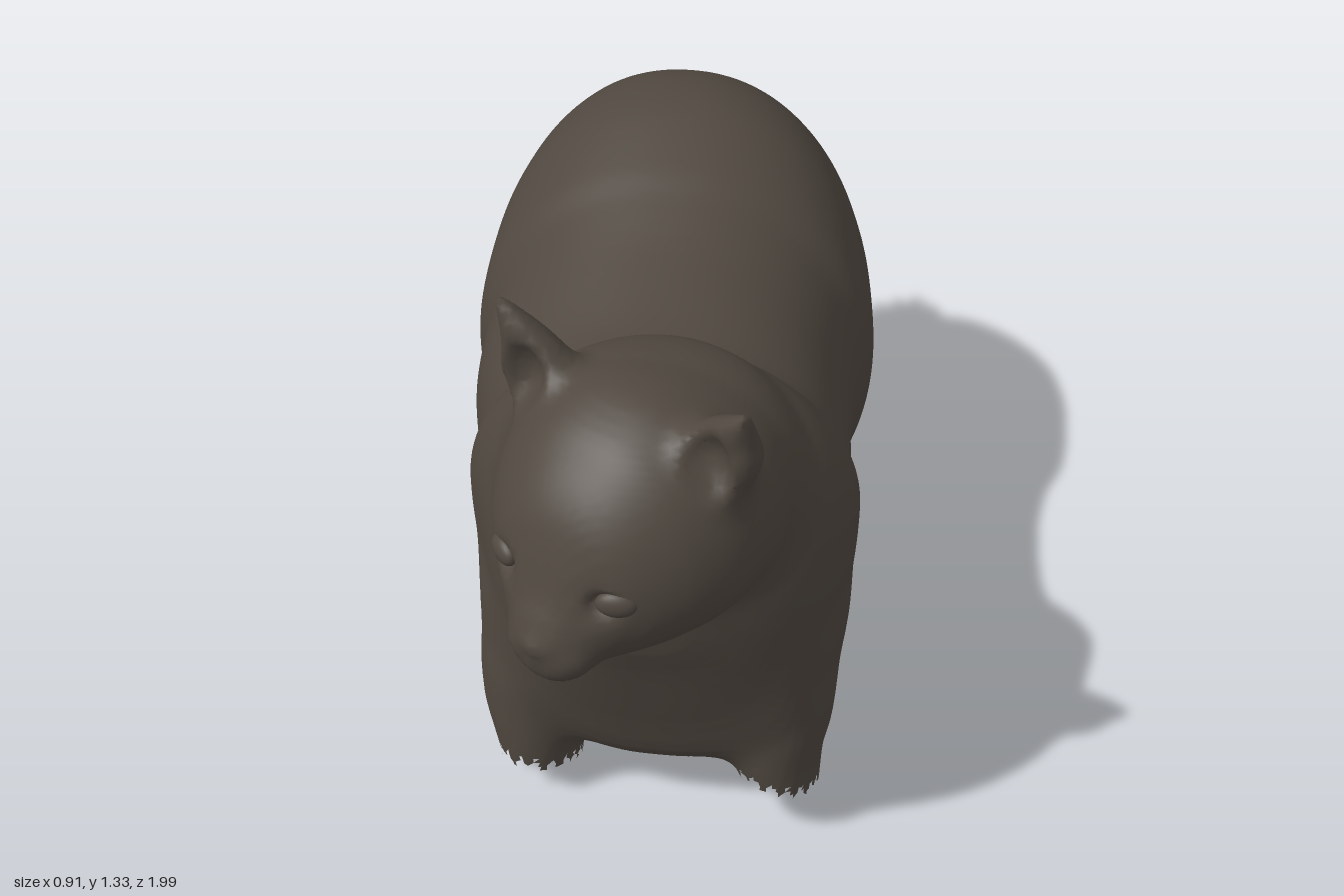
import * as THREE from 'three';

const noise = (i) => { const s = Math.sin(i * 127.1 + 3.7) * 43758.5; return s - Math.floor(s); };

// Catmull-Rom interpolation of every column in a table of section values
function smooth(rows, steps = 8) {
  const at = (i) => rows[Math.min(Math.max(i, 0), rows.length - 1)];
  return rows.flatMap((row, i) => Array.from({ length: i < rows.length - 1 ? steps : 1 }, (_, k) => {
    const t = k / steps;
    return row.map((b, c) => {
      const a = at(i - 1)[c], d = at(i + 1)[c], e = at(i + 2)[c];
      return b + 0.5 * t * (d - a + t * (2 * a - 5 * b + 4 * d - e + t * (3 * (b - d) + e - a)));
    });
  }));
}

// Distance to a limb with oval sections [t, u, v, radiusU, radiusBelow, radiusAbove]
function limb(table, below = 2, above = 2) {
  const rows = smooth(table), first = rows[0][0], end = rows[rows.length - 1][0];
  return (t, u, v) => {
    const over = Math.max(first - t, t - end, 0);
    if (over > 0.2) return over;
    let lo = 0, hi = rows.length - 1;
    while (hi - lo > 1) {
      const mid = (lo + hi) >> 1;
      if (rows[mid][0] <= t) lo = mid; else hi = mid;
    }
    const a = rows[lo], b = rows[hi];
    const f = Math.min(Math.max((t - a[0]) / (b[0] - a[0]), 0), 1);
    const mix = (c) => a[c] + (b[c] - a[c]) * f;
    const du = u - mix(1), dv = v - mix(2), ru = mix(3), rv = mix(dv < 0 ? 4 : 5);
    const r = Math.sqrt(Math.abs(du / ru) ** (dv < 0 ? below : above) + (dv / rv) ** 2);
    const d = r < 1e-4 ? -Math.min(ru, rv) : Math.hypot(du, dv) * (1 - 1 / r);
    return over > 0 ? Math.hypot(Math.max(d, 0), over) : d;
  };
}
const trunk = (rows, ...fullness) =>
  limb(rows.map(([z, x0, x1, yb, ym, yt]) => [z, (x0 + x1) / 2, ym, (x1 - x0) / 2, ym - yb, yt - ym]), ...fullness);
const round = (rows) => limb(rows.map((r) => [...r, r[4]]));
const oval = (x, y, z, rx, ry, rz) => (px, py, pz) =>
  (Math.hypot((px - x) / rx, (py - y) / ry, (pz - z) / rz) - 1) * Math.min(rx, ry, rz);

// Soft union
const blend = (a, b, k) => Math.min(a, b) - Math.max(k - Math.abs(a - b), 0) ** 2 / (4 * k);

// Rump, belly, chest and neck: [z, xMin, xMax, yBottom, yWidest, yTop]
const body = trunk([
  [-0.865, -0.02, 0.02, 0.80, 0.83, 0.86], [-0.85, -0.11, 0.11, 0.72, 0.83, 0.94],
  [-0.80, -0.22, 0.20, 0.60, 0.82, 1.04], [-0.70, -0.36, 0.31, 0.40, 0.75, 1.13],
  [-0.60, -0.42, 0.38, 0.30, 0.70, 1.18], [-0.50, -0.447, 0.415, 0.23, 0.68, 1.20],
  [-0.40, -0.46, 0.435, 0.20, 0.67, 1.195], [-0.25, -0.458, 0.447, 0.19, 0.66, 1.15],
  [-0.15, -0.43, 0.42, 0.165, 0.65, 1.11], [0.00, -0.42, 0.415, 0.135, 0.64, 1.06],
  [0.20, -0.37, 0.43, 0.15, 0.66, 1.02], [0.30, -0.362, 0.445, 0.16, 0.70, 1.04],
  [0.40, -0.35, 0.453, 0.165, 0.76, 1.13], [0.50, -0.315, 0.447, 0.17, 0.78, 1.20],
  [0.60, -0.275, 0.405, 0.21, 0.78, 1.21], [0.66, -0.23, 0.35, 0.37, 0.78, 1.15],
  [0.72, -0.16, 0.26, 0.55, 0.80, 1.06], [0.76, -0.08, 0.16, 0.66, 0.82, 0.96],
  [0.775, 0.02, 0.06, 0.76, 0.82, 0.86],
], 2.8, 2.15);
const tail = round([
  [-1.05, 0, 0.80, 0.09, 0.085], [-0.93, 0, 0.805, 0.10, 0.09], [-0.86, 0, 0.82, 0.12, 0.12],
  [-0.78, 0, 0.83, 0.16, 0.17], [-0.65, 0, 0.83, 0.05, 0.05],
]);

// Legs from the ground up: [y, cx, cz, rx, rz]
const frontLeft = round([
  [-0.06, 0.325, 0.47, 0.075, 0.11], [0.10, 0.315, 0.48, 0.09, 0.12], [0.19, 0.30, 0.485, 0.11, 0.125],
  [0.28, 0.295, 0.485, 0.13, 0.13], [0.42, 0.285, 0.48, 0.145, 0.14], [0.60, 0.25, 0.45, 0.16, 0.14],
  [0.78, 0.20, 0.40, 0.06, 0.06],
]);
const frontRight = round([
  [-0.06, -0.205, 0.47, 0.075, 0.11], [0.10, -0.205, 0.48, 0.09, 0.12], [0.19, -0.205, 0.485, 0.105, 0.125],
  [0.28, -0.20, 0.485, 0.125, 0.13], [0.42, -0.185, 0.48, 0.14, 0.14], [0.60, -0.15, 0.45, 0.15, 0.14],
  [0.78, -0.10, 0.40, 0.06, 0.06],
]);
const rear = (side) => round([
  [0.00, 0.215, -0.585, 0.11, 0.17], [0.20, 0.215, -0.58, 0.12, 0.18], [0.30, 0.22, -0.58, 0.135, 0.18],
  [0.42, 0.225, -0.53, 0.155, 0.19], [0.60, 0.21, -0.48, 0.16, 0.20], [0.80, 0.16, -0.42, 0.06, 0.08],
].map(([y, x, ...r]) => [y, side * x - 0.012, ...r]));
const rearLeft = rear(1), rearRight = rear(-1);

// Head, in its own turned frame
const TURN = -0.5, HX = 0.03, HZ = 0.72;
const skull = trunk([
  [-0.34, -0.08, 0.08, 0.88, 0.98, 1.07], [-0.26, -0.20, 0.20, 0.79, 0.98, 1.19],
  [-0.13, -0.265, 0.265, 0.76, 0.98, 1.25], [0.00, -0.275, 0.275, 0.745, 0.98, 1.27],
  [0.10, -0.245, 0.245, 0.755, 0.97, 1.235], [0.17, -0.20, 0.20, 0.765, 0.96, 1.175],
  [0.22, -0.15, 0.15, 0.77, 0.95, 1.11], [0.25, -0.11, 0.11, 0.77, 0.91, 1.035],
  [0.275, -0.075, 0.075, 0.775, 0.86, 0.95], [0.295, -0.05, 0.05, 0.79, 0.85, 0.905],
  [0.305, -0.01, 0.01, 0.835, 0.845, 0.855],
], 2, 2.2);
const snout = [
  oval(0.038, 0.82, 0.25, 0.05, 0.038, 0.045), oval(-0.038, 0.82, 0.25, 0.05, 0.038, 0.045),
  oval(0, 0.78, 0.25, 0.05, 0.025, 0.035), oval(0, 0.86, 0.285, 0.028, 0.02, 0.026),
];
const ear = (side, lift) => {
  const shell = round([
    [1.06, 0.165, -0.01, 0.06, 0.06], [1.20, 0.193, 0.00, 0.09, 0.068],
    [1.265 + lift / 2, 0.222, 0.008, 0.06, 0.046], [1.325 + lift, 0.265, 0.028, 0.019, 0.016],
    [1.34 + lift, 0.277, 0.034, 0.008, 0.008],
  ].map(([y, x, ...r]) => [y, side * x, ...r]));
  const hollow = oval(side * 0.208, 1.20 + lift / 2, 0.07, 0.055, 0.09, 0.055);
  return (y, x, z) => -blend(-shell(y, x, z), hollow(x, y, z), 0.015);
};
const leftEar = ear(1, 0), rightEar = ear(-1, 0.03);
const EYES = [1, -1].map((side) => {
  let z = 0.4;
  while (skull(z, side * 0.13, 0.965) > 0) z -= 0.002;
  return { side, x: side * 0.13, y: 0.965, z };
});
const sockets = EYES.map((e) => oval(e.x, e.y, e.z + 0.016, 0.05, 0.036, 0.032));

function headDistance(y, x, z) {
  let d = skull(z, x, y);
  for (const s of snout) d = blend(d, s(x, y, z), 0.03);
  for (const s of sockets) d = -blend(-d, s(x, y, z), 0.012);
  return d;
}
const turned = (f) => (x, y, z) => {
  const dx = x - HX, dz = z - HZ, c = Math.cos(TURN), s = Math.sin(TURN);
  return f(y, dx * c - dz * s, dx * s + dz * c);
};
const upright = (f) => (x, y, z) => f(y, x, z);
const along = (f) => (x, y, z) => f(z, x, y);

// Ragged open hems; each returns how far a point lies past its edge
const fray = (a, n) => noise(Math.floor(a * n)) * 0.02 + Math.abs(((a * n) % 1 + 1) % 1 - 0.5) * 0.06;
const hem = (cx, cz, tip, sx, sz) => (x, y, z) =>
  tip + sx * Math.abs(x - cx) + sz * Math.abs(z - cz) + fray(Math.atan2(z - cz, x - cx), 4.5) - y;
const PARTS = [
  { name: 'body', at: along(body), k: 0.05 },
  { name: 'head', at: turned(headDistance), k: 0.08 },
  { name: 'leftEar', at: turned(leftEar), k: 0.04 },
  { name: 'rightEar', at: turned(rightEar), k: 0.04 },
  { name: 'frontLeftLeg', at: upright(frontLeft), k: 0.08, past: hem(0.34, 0.45, 0, 0.35, 0.7) },
  { name: 'frontRightLeg', at: upright(frontRight), k: 0.08, past: hem(-0.2, 0.45, 0.02, 0.2, 0.7) },
  { name: 'rearLeftLeg', at: upright(rearLeft), k: 0.08, past: hem(0.21, -0.47, 0.13, 0, 0.18) },
  { name: 'rearRightLeg', at: upright(rearRight), k: 0.08, past: hem(-0.23, -0.47, 0.13, 0, 0.18) },
  { name: 'tail', at: along(tail), k: 0.07,
    past: (x, y, z) => -0.985 + 1.7 * fray(Math.atan2(y - 0.8, x), 4) - z },
];

// Wrap one continuous skin round all parts by surface nets
function wrap(min, max, h) {
  const n = min.map((m, i) => Math.ceil((max[i] - m) / h) + 1);
  const step = [1, n[0], n[0] * n[1]];
  const field = new Float32Array(n[0] * n[1] * n[2]), ids = new Int32Array(field.length);
  const each = (from, less, visit) => {
    for (let k = from; k < n[2] - less; k++)
      for (let j = from; j < n[1] - less; j++)
        for (let i = from; i < n[0] - less; i++) visit(i + j * step[1] + k * step[2], [i, j, k]);
  };
  each(0, 0, (p, c) => {
    const [x, y, z] = c.map((v, a) => min[a] + v * h);
    field[p] = PARTS.reduce((d, part) => blend(d, part.at(x, y, z), part.k), 1);
  });
  const pos = [], index = [];
  each(0, 1, (p, c) => {
    const sum = [0, 0, 0];
    let hits = 0;
    for (let q = 0; q < 8; q++) {
      const bits = [q & 1, (q >> 1) & 1, q >> 2];
      const a = p + bits[0] + bits[1] * step[1] + bits[2] * step[2];
      for (let axis = 0; axis < 3; axis++) {
        const b = a + step[axis];
        if (bits[axis] || (field[a] < 0) === (field[b] < 0)) continue;
        hits++;
        for (let m = 0; m < 3; m++) sum[m] += bits[m] + (m === axis ? field[a] / (field[a] - field[b]) : 0);
      }
    }
    if (!hits) return;
    ids[p] = pos.length / 3;
    pos.push(...sum.map((s, m) => min[m] + (c[m] + s / hits) * h));
  });
  each(1, 1, (p) => {
    for (let a = 0; a < 3; a++) {
      const inside = field[p] < 0, u = step[(a + 1) % 3], v = step[(a + 2) % 3];
      if (inside === (field[p + step[a]] < 0)) continue;
      const [A, B, C, D] = [p - u - v, p - v, p, p - u].map((q) => ids[q]);
      index.push(...(inside ? [A, B, C, A, C, D] : [A, C, B, A, D, C]));
    }
  });
  const g = new THREE.BufferGeometry().setIndex(index);
  g.setAttribute('position', new THREE.Float32BufferAttribute(pos, 3));
  g.computeVertexNormals();
  return g;
}

export function createModel() {
  const model = new THREE.Group();
  const fur = new THREE.MeshStandardMaterial({ color: 0x504840, side: THREE.DoubleSide, name: 'dark brown fur' });
  const add = (name, geometry) => {
    const m = new THREE.Mesh(geometry, fur);
    m.name = name;
    model.add(m);
    return m;
  };
  // Share the skin out to its nearest part, leaving the hems open
  const skin = wrap([-0.52, -0.04, -1.03], [0.52, 1.42, 1.06], 0.0135);
  const faces = PARTS.map(() => []), p = skin.attributes.position.array, idx = skin.index.array;
  for (let i = 0; i < idx.length; i += 3) {
    const tri = [idx[i], idx[i + 1], idx[i + 2]];
    const mid = [0, 1, 2].map((m) => tri.reduce((s, v) => s + p[v * 3 + m], 0) / 3);
    const near = PARTS.map((part) => part.at(...mid));
    const best = near.indexOf(Math.min(...near));
    if (!PARTS[best].past || PARTS[best].past(...mid) < 0) faces[best].push(...tri);
  }
  PARTS.forEach((part, i) => add(part.name, skin.clone().setIndex(faces[i]).toNonIndexed()));
  // Eyeballs set in their sockets
  for (const e of EYES) {
    const c = Math.cos(TURN), s = Math.sin(TURN), z = e.z - 0.016;
    const eye = add(e.side > 0 ? 'leftEye' : 'rightEye', new THREE.SphereGeometry(1, 24, 16));
    eye.position.set(HX + e.x * c + z * s, e.y, HZ - e.x * s + z * c);
    eye.rotation.y = TURN + e.side * 0.5;
    eye.scale.set(0.04, 0.028, 0.02);
  }
  return model;
}
